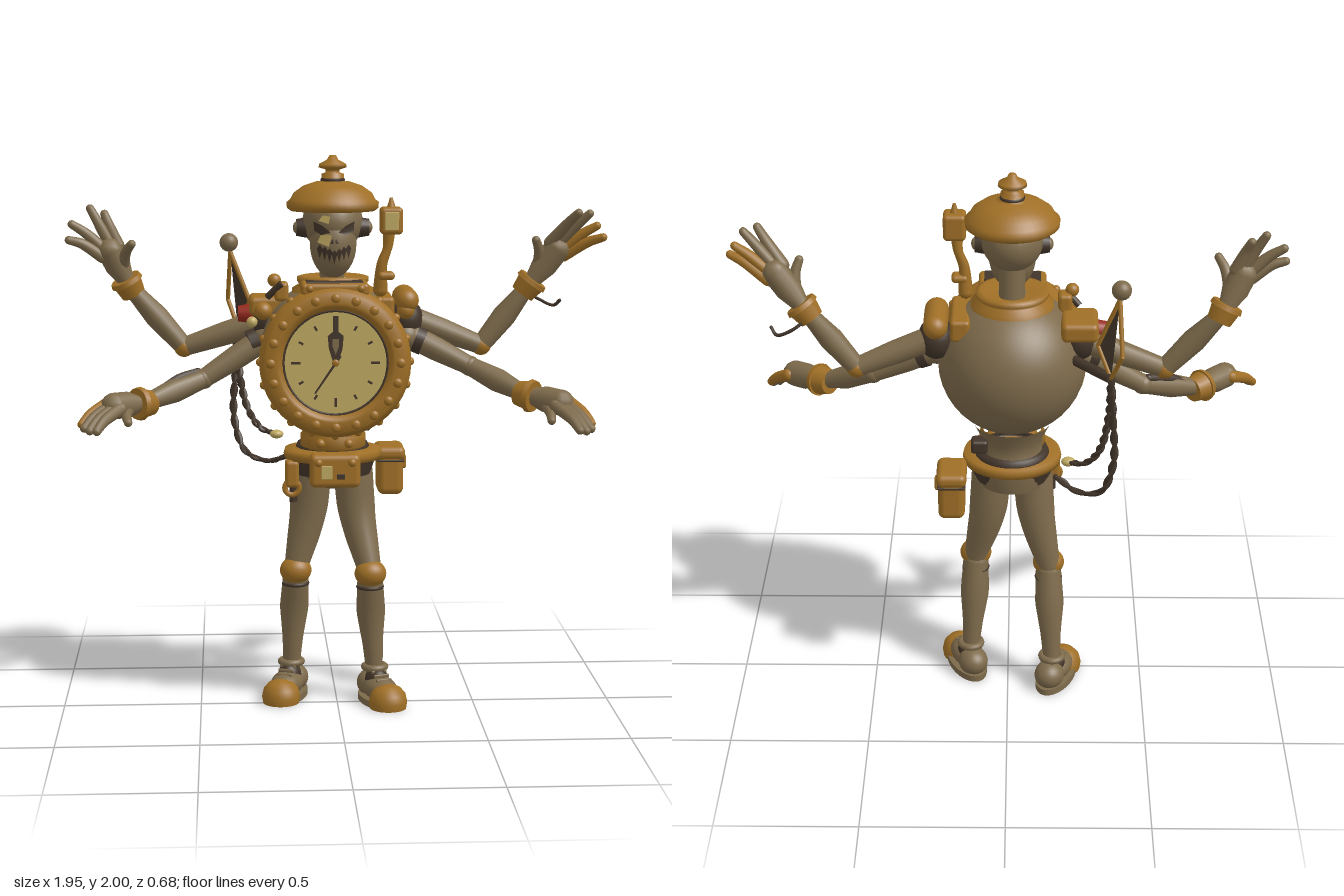
import * as THREE from 'three';
import { mergeGeometries } from 'three/addons/utils/BufferGeometryUtils.js';
import { RoundedBoxGeometry } from 'three/addons/geometries/RoundedBoxGeometry.js';

const paint = (name, color, side = THREE.FrontSide) => {
  const m = new THREE.MeshStandardMaterial({ color, side });
  m.name = name;
  return m;
};
const V = (p) => new THREE.Vector3(...p);
const CX = -0.015; // body centre line

export function createModel() {
  const root = new THREE.Group();
  root.name = 'clockworkFigure';
  const brown = paint('weathered grey brown', 0x7d6a4b);
  const gold = paint('aged brass', 0x9f6f26);
  const cream = paint('dial cream', 0xbfa862, THREE.DoubleSide);
  const dark = paint('dark iron', 0x42352a, THREE.DoubleSide);
  const red = paint('red enamel', 0x96291c);

  const add = (name, geo, mat, pos = [0, 0, 0], parent = root) => {
    const m = new THREE.Mesh(geo, mat);
    m.name = name;
    m.position.set(...pos);
    parent.add(m);
    return m;
  };
  const ball = (name, mat, pos, rx, ry = rx, rz = rx, parent = root) =>
    add(name, new THREE.SphereGeometry(1, 24, 16).scale(rx, ry, rz), mat, pos, parent);
  const box = (name, mat, pos, w, h, d, r = 0.015, parent = root) =>
    add(name, new RoundedBoxGeometry(w, h, d, 3, r), mat, pos, parent);
  const lathe = (name, mat, profile, pos, parent = root) =>
    add(name, new THREE.LatheGeometry(profile.map((p) => new THREE.Vector2(...p)), 40), mat, pos, parent);
  // straight round bar from a to b
  const rod = (name, mat, a, b, ra, rb = ra) => {
    const d = V(b).sub(V(a));
    const m = add(name, new THREE.CylinderGeometry(rb, ra, d.length(), 16), mat, V(a).addScaledVector(d, 0.5).toArray());
    m.quaternion.setFromUnitVectors(V([0, 1, 0]), d.normalize());
    return m;
  };
  // curved tube of changing radius with round ends
  const limb = (name, mat, pts, radii, sides = 14) => {
    const curve = new THREE.CatmullRomCurve3(pts.map(V), false, 'centripetal');
    const n = (pts.length - 1) * 8;
    const g = new THREE.TubeGeometry(curve, n, 1, sides);
    const p = g.attributes.position, v = new THREE.Vector3();
    for (let i = 0; i <= n; i++) {
      const c = curve.getPointAt(i / n);
      const t = (i / n) * (radii.length - 1), k = Math.min(Math.floor(t), radii.length - 2);
      const r = THREE.MathUtils.lerp(radii[k], radii[k + 1], t - k);
      for (let j = 0; j <= sides; j++) {
        const q = i * (sides + 1) + j;
        v.fromBufferAttribute(p, q).sub(c).multiplyScalar(r).add(c);
        p.setXYZ(q, v.x, v.y, v.z);
      }
    }
    const cap = (at, r) => new THREE.SphereGeometry(r, 12, 8).translate(...at);
    return add(name, mergeGeometries([g, cap(pts[0], radii[0]), cap(pts.at(-1), radii.at(-1))]), mat);
  };

  // Round torso, open at the front where the drum closes it
  const shell = new THREE.SphereGeometry(0.262, 40, 26, 0, Math.PI * 2, 0, Math.PI * 0.68).rotateX(-Math.PI / 2);
  add('torso', shell, brown, [CX, 1.3, -0.02]);
  const clock = new THREE.Group();
  clock.name = 'clock';
  clock.position.set(CX, 1.285, 0);
  root.add(clock);
  const drum = lathe('drum', gold, [[0.24, -0.03], [0.262, -0.02], [0.262, 0.13], [0.268, 0.135], [0.268, 0.17], [0.255, 0.19],
    [0.245, 0.205], [0.21, 0.209], [0.2, 0.203], [0.187, 0.195], [0.183, 0.175]], [0, 0, 0], clock);
  drum.rotation.x = Math.PI / 2;
  add('dial', new THREE.CircleGeometry(0.186, 48), cream, [0, 0, 0.186], clock);
  add('dialEdge', new THREE.TorusGeometry(0.184, 0.005, 8, 48), dark, [0, 0, 0.189], clock);
  for (let i = 0; i < 20; i++) {
    const a = (i / 20) * Math.PI * 2, c = Math.cos(a), s = Math.sin(a);
    ball('rimBolt', gold, [c * 0.228, s * 0.228, 0.205], 0.017, 0.017, 0.011, clock);
    ball('sideBolt', gold, [c * 0.264, s * 0.264, 0.155], 0.015, 0.015, 0.015, clock);
  }
  const plate = (name, mat, pts, pos, parent) =>
    add(name, new THREE.ShapeGeometry(new THREE.Shape(pts.map((p) => new THREE.Vector2(...p)))), mat, pos, parent);
  for (let i = 0; i < 12; i++) {
    const h = i % 3 ? 0.009 : 0.016;
    plate('hourMark', dark, [[-0.004, 0.14 - h], [0.004, 0.14 - h], [0.004, 0.14 + h], [-0.004, 0.14 + h]],
      [0, 0, 0.189], clock).rotation.z = (i * Math.PI) / 6;
  }
  plate('hourHand', dark, [[-0.008, 0], [0.008, 0], [0.024, 0.05], [0.028, 0.095], [0.01, 0.11], [0.01, 0.165],
    [-0.01, 0.165], [-0.01, 0.11], [-0.028, 0.095], [-0.024, 0.05]], [0, 0, 0.192], clock);
  plate('hourHandInlay', brown, [[0, 0.03], [0.012, 0.06], [0.012, 0.085], [-0.012, 0.085], [-0.012, 0.06]], [0, 0, 0.194], clock);
  plate('minuteHand', dark, [[-0.005, -0.03], [0.005, -0.03], [0.003, 0.13], [-0.003, 0.13]],
    [0, 0, 0.194], clock).rotation.z = Math.PI * 0.81;
  ball('handPivot', gold, [0, 0, 0.192], 0.013, 0.013, 0.007, clock);

  // Collar and neck
  lathe('collar', gold, [[0.15, 1.49], [0.145, 1.53], [0.12, 1.545], [0.128, 1.555], [0.128, 1.57], [0.11, 1.575], [0.05, 1.565]], [CX, 0, -0.02]);
  box('collarFront', gold, [CX, 1.54, 0.1], 0.24, 0.045, 0.16);
  box('collarSeam', dark, [CX, 1.562, 0.1], 0.2, 0.008, 0.13, 0.003);
  for (const s of [-1, 1]) ball('collarBolt', gold, [CX + s * 0.09, 1.545, 0.18], 0.014);
  rod('neck', brown, [CX, 1.54, -0.07], [CX, 1.7, -0.06], 0.045);

  // Skull: cranium and narrow tapering jaw
  const HY = 1.765;
  ball('cranium', brown, [CX, HY, -0.03], 0.108, 0.108, 0.128);
  ball('faceAndJaw', brown, [CX, 1.69, 0.015], 0.083, 0.122, 0.088);
  const faceZ = (x, y) => Math.max(
    -0.03 + 0.128 * Math.sqrt(Math.max(0, 1 - (x / 0.108) ** 2 - ((y - HY) / 0.108) ** 2)),
    0.015 + 0.088 * Math.sqrt(Math.max(0, 1 - (x / 0.083) ** 2 - ((y - 1.69) / 0.122) ** 2)));
  const facePatch = (name, mat, pts, lift = 0.006) => {
    const m = plate(name, mat, pts, [CX, 0, 0], root), p = m.geometry.attributes.position;
    for (let i = 0; i < p.count; i++) p.setZ(i, faceZ(p.getX(i), p.getY(i)) + lift);
    m.geometry.computeVertexNormals();
  };
  facePatch('browPatch', cream, [[-0.055, 1.775], [-0.02, 1.765], [-0.015, 1.79], [-0.04, 1.795]]);
  facePatch('cheekPatch', cream, [[-0.06, 1.7], [-0.02, 1.685], [-0.008, 1.725], [-0.045, 1.73]]);
  for (const s of [-1, 1]) {
    facePatch('eyeSocket', dark, [[s * 0.014, 1.735], [s * 0.045, 1.725], [s * 0.07, 1.74], [s * 0.072, 1.772], [s * 0.04, 1.757]], 0.008);
    facePatch('nostril', dark, [[s * 0.003, 1.695], [s * 0.016, 1.695], [s * 0.005, 1.715]]);
    const ear = rod('earBolt', dark, [CX + s * 0.09, 1.745, -0.02], [CX + s * 0.13, 1.745, -0.02], 0.037, 0.03);
    ball('earCap', brown, ear.position.toArray().map((v, i) => (i ? v : v + s * 0.018)), 0.014, 0.022, 0.022);
  }
  for (let i = -3; i <= 3; i++) { // jagged grin
    const x = i * 0.017, y = 1.65 + Math.abs(i) * 0.006;
    facePatch('mouthTooth', dark, [[x - 0.01, y + 0.01], [x, y - 0.026], [x + 0.01, y + 0.01], [x, y + 0.024]]);
  }

  // Domed hat with knob
  const hat = [CX, 0, -0.02];
  lathe('hat', gold, [[0.1, 1.805], [0.15, 1.805], [0.163, 1.815], [0.165, 1.835], [0.152, 1.845], [0.14, 1.868], [0.105, 1.893],
    [0.06, 1.908], [0.04, 1.91], [0.04, 1.935], [0.025, 1.94], [0.025, 1.95], [0.05, 1.958], [0.048, 1.97], [0.02, 1.985], [0.012, 2], [0, 2]], hat);
  add('hatKnobRing', new THREE.TorusGeometry(0.036, 0.008, 8, 24).rotateX(Math.PI / 2), dark, [CX, 1.914, -0.02]);

  // Lantern mast by the left shoulder
  limb('mast', gold, [[0.15, 1.53, 0.06], [0.155, 1.62, 0.07], [0.175, 1.68, 0.07], [0.18, 1.74, 0.075]], [0.026, 0.02, 0.016, 0.022]);
  box('mastBase', gold, [0.17, 1.58, 0.07], 0.06, 0.03, 0.06);
  box('lantern', gold, [0.187, 1.775, 0.075], 0.08, 0.095, 0.085);
  box('lanternWindow', cream, [0.187, 1.775, 0.116], 0.05, 0.065, 0.008, 0.003);
  rod('lanternSpike', gold, [0.187, 1.82, 0.075], [0.187, 1.855, 0.075], 0.016, 0.005);

  // Shoulder fittings
  add('leftShoulderRoll', new THREE.CapsuleGeometry(0.043, 0.15, 8, 16).rotateX(Math.PI / 2), gold, [0.25, 1.485, -0.07]);
  box('leftShoulderBox', gold, [0.165, 1.465, -0.03], 0.07, 0.08, 0.24);
  box('rightShoulderBox', gold, [-0.25, 1.465, -0.08], 0.13, 0.07, 0.17, 0.02);
  box('rightShoulderValve', gold, [-0.2, 1.52, 0.0], 0.05, 0.07, 0.07);
  ball('valveKnob', gold, [-0.225, 1.56, 0.01], 0.024);
  rod('valvePipe', dark, [-0.25, 1.5, 0.01], [-0.2, 1.55, 0.035], 0.012);
  rod('redCap', red, [-0.3, 1.435, -0.05], [-0.355, 1.435, -0.05], 0.038, 0.028);
  ball('creamGauge', cream, [-0.305, 1.41, 0.0], 0.02);
  for (const s of [-1, 1]) {
    ball('shoulderJoint', dark, [s * 0.25, 1.41, -0.07], 0.065, 0.075, 0.07);
    ball('lowerShoulderJoint', brown, [s * 0.25, 1.35, -0.04], 0.05);
    ball('shoulderBolt', gold, [s * 0.255 - 0.01, 1.45, 0.01], 0.032);
    rod('shoulderBand', dark, [s * 0.285, 1.34, -0.045], [s * 0.315, 1.328, -0.04], 0.048);
  }

  // Four arms: joints, then palm and finger tips; fingers from index goldFrom are brass
  const arm = (name, elbowMat, sh, el, wr, palm, tips, thumb, goldFrom = 4) => {
    const mid = V(sh).lerp(V(el), 0.5).toArray(), fore = V(el).lerp(V(wr), 0.35).toArray();
    limb(name + 'UpperArm', brown, [sh, mid, el], [0.045, 0.043, 0.034]);
    ball(name + 'Elbow', elbowMat, el, 0.037);
    limb(name + 'Forearm', brown, [el, fore, wr], [0.034, 0.043, 0.028]);
    const d = V(palm).sub(V(wr)).normalize(), at = (t) => V(wr).addScaledVector(d, t).toArray();
    rod(name + 'Cuff', gold, at(-0.035), at(0.015), 0.044, 0.053);
    rod(name + 'CuffRim', gold, at(0.015), at(0.032), 0.06, 0.056);
    limb(name + 'Palm', brown, [at(0.02), palm], [0.028, 0.047, 0.047]);
    const spread = V(tips.at(-1)).sub(V(tips[0])).normalize();
    tips.forEach((tip, i) => {
      const base = V(palm).addScaledVector(spread, (i - (tips.length - 1) / 2) * 0.024);
      const knuckle = base.clone().lerp(V(tip), 0.55).addScaledVector(d, 0.016);
      limb(name + 'Finger', i < goldFrom ? brown : gold, [base.toArray(), knuckle.toArray(), tip], [0.023, 0.02, 0.015], 10);
    });
    const base = at(0.06), bend = V(base).lerp(V(thumb), 0.6).addScaledVector(d, 0.012).toArray();
    limb(name + 'Thumb', brown, [base, bend, thumb], [0.026, 0.02, 0.015], 10);
  };
  arm('leftRaised', gold, [0.25, 1.42, -0.08], [0.53, 1.31, -0.1], [0.7, 1.525, -0.1], [0.8, 1.66, -0.08],
    [[0.865, 1.795, 0], [0.91, 1.79, -0.03], [0.94, 1.745, -0.05], [0.96, 1.705, -0.03]], [0.72, 1.695, -0.05], 2);
  arm('rightRaised', gold, [-0.25, 1.41, -0.07], [-0.55, 1.31, -0.1], [-0.745, 1.53, -0.11], [-0.81, 1.66, -0.08],
    [[-0.955, 1.7, -0.06], [-0.945, 1.755, -0.08], [-0.88, 1.81, -0.1], [-0.83, 1.79, -0.11]], [-0.73, 1.69, 0]);
  arm('leftLow', brown, [0.25, 1.36, -0.05], [0.48, 1.245, -0.01], [0.67, 1.155, 0.11], [0.78, 1.14, 0.2],
    [[0.83, 1.06, 0.325], [0.855, 1.055, 0.31], [0.875, 1.06, 0.29], [0.88, 1.075, 0.265]], [0.74, 1.085, 0.26], 3);
  arm('rightLow', brown, [-0.25, 1.35, -0.05], [-0.48, 1.205, -0.01], [-0.69, 1.135, 0.11], [-0.79, 1.14, 0.2],
    [[-0.845, 1.07, 0.325], [-0.87, 1.07, 0.31], [-0.89, 1.075, 0.285], [-0.9, 1.085, 0.26]], [-0.74, 1.09, 0.26], 3);
  limb('forearmStrip', dark, [[-0.5, 1.228, -0.012], [-0.56, 1.21, 0.026], [-0.64, 1.17, 0.07]], [0.016, 0.022, 0.016], 8);
  limb('wristWire', dark, [[0.7, 1.5, -0.13], [0.75, 1.47, -0.15], [0.8, 1.45, -0.14], [0.82, 1.47, -0.12]], [0.006, 0.006], 6);

  // Diamond aerial behind the right shoulder, with hanging cables
  const tip = [-0.38, 1.64, -0.26], out = [-0.39, 1.46, -0.33], inn = [-0.31, 1.46, -0.235], low = [-0.355, 1.36, -0.29];
  ball('aerialBall', brown, [-0.385, 1.675, -0.26], 0.034);
  for (const [a, b] of [[tip, out], [out, low], [low, inn], [inn, tip]]) rod('aerialFrame', gold, a, b, 0.008);
  add('aerialPanel', new THREE.BufferGeometry().setFromPoints([tip, low, inn].map(V)), dark).geometry.computeVertexNormals();
  rod('aerialBracket', dark, low, [-0.22, 1.36, -0.13], 0.018);
  const cable = (pts) => {
    const c = new THREE.CatmullRomCurve3(pts.map(V));
    for (const ph of [0, Math.PI]) { // two twisted strands
      const strand = c.getSpacedPoints(40).map((p, i) => [p.x + 0.007 * Math.cos(i * 0.9 + ph), p.y, p.z + 0.007 * Math.sin(i * 0.9 + ph)]);
      add('cableStrand', new THREE.TubeGeometry(new THREE.CatmullRomCurve3(strand.map(V)), 120, 0.008, 6), dark);
    }
  };
  cable([low, [-0.365, 1.2, -0.28], [-0.37, 1.02, -0.27], [-0.33, 0.9, -0.25], [-0.25, 0.87, -0.2], [-0.17, 0.9, -0.14]]);
  cable([low, [-0.35, 1.2, -0.27], [-0.32, 1.06, -0.25], [-0.27, 0.99, -0.21], [-0.21, 0.975, -0.17]]);
  ball('cablePlug', cream, [-0.215, 0.975, -0.17], 0.025, 0.016, 0.022);

  // Waist, belt and pouches
  lathe('waist', brown, [[0.12, 0.84], [0.135, 0.91], [0.13, 0.94], [0.108, 0.97], [0.11, 1.02], [0.14, 1.08]], [CX, 0, -0.05]);
  lathe('waistBand', dark, [[0.128, 0.945], [0.134, 0.95], [0.126, 0.968], [0.105, 0.972]], [CX, 0, -0.045]);
  lathe('waistCup', gold, [[0.1, 0.955], [0.118, 0.965], [0.118, 1.005], [0.105, 1.02], [0.12, 1.04]], [CX, 0, 0.005]);
  for (const s of [-1, 1]) ball('waistBolt', gold, [CX + s * 0.05, 0.985, 0.112], 0.017);
  box('waistRearBlock', dark, [0.1, 1.02, -0.13], 0.06, 0.05, 0.06, 0.012);
  const belt = lathe('belt', gold, [[0.13, 0.908], [0.173, 0.912], [0.178, 0.93], [0.173, 0.948], [0.13, 0.952]], [CX, 0, -0.03]);
  const skirt = lathe('underBelt', dark, [[0.137, 0.855], [0.155, 0.912]], [CX, 0, -0.035]);
  for (const part of [belt, skirt]) part.scale.z = 0.95;
  box('buckle', gold, [CX, 0.893, 0.125], 0.18, 0.12, 0.085, 0.02);
  box('buckleInset', cream, [CX - 0.03, 0.89, 0.167], 0.04, 0.05, 0.008, 0.003);
  box('buckleSlot', dark, [CX + 0.02, 0.875, 0.167], 0.03, 0.02, 0.008, 0.003);
  for (const s of [-1, 1]) ball('buckleBolt', gold, [CX + s * 0.06, 0.925, 0.165], 0.015);
  box('leftPouch', gold, [0.2, 0.84, -0.145], 0.095, 0.16, 0.15, 0.025);
  box('leftPouchFlap', gold, [0.2, 0.915, -0.145], 0.108, 0.05, 0.165, 0.022);
  box('leftPouchClasp', gold, [0.252, 0.875, -0.145], 0.018, 0.05, 0.03, 0.006);
  box('leftPouchStrap', dark, [0.2, 0.888, -0.145], 0.1, 0.008, 0.155, 0.003);
  box('rightTool', gold, [-0.165, 0.865, 0.03], 0.05, 0.1, 0.07);
  add('toolRing', new THREE.TorusGeometry(0.026, 0.01, 8, 20), gold, [-0.165, 0.815, 0.05]);
  rod('toolHandle', dark, [-0.16, 0.76, 0.03], [-0.16, 0.83, 0.03], 0.014);
  ball('pelvis', brown, [CX, 0.86, -0.045], 0.125, 0.065, 0.095);

  // Legs and shoes
  const leg = (s, kneeX, ankleX, kz, az) => {
    const n = s > 0 ? 'left' : 'right';
    limb(n + 'Thigh', brown, [[CX + s * 0.075, 0.86, -0.045], [CX + s * 0.09, 0.7, -0.04 + kz * 0.3], [kneeX, 0.49, kz]], [0.072, 0.07, 0.058, 0.042], 18);
    ball(n + 'Knee', gold, [kneeX, 0.49, kz + 0.015], 0.058, 0.05, 0.052);
    limb(n + 'Calf', brown, [[kneeX, 0.46, kz], [kneeX + s * 0.005, 0.33, kz * 0.6 + az * 0.4 - 0.008], [ankleX, 0.1, az]], [0.047, 0.053, 0.038, 0.03], 18);
    add(n + 'KneeSeam', new THREE.TorusGeometry(0.044, 0.007, 8, 24).rotateX(Math.PI / 2), dark, [kneeX, 0.437, kz - 0.002]);
    add(n + 'AnkleRing', new THREE.TorusGeometry(0.038, 0.013, 10, 24).rotateX(Math.PI / 2), brown, [ankleX, 0.125, az]);
    const shoe = new THREE.Group();
    shoe.name = n + 'Shoe';
    shoe.position.set(ankleX, 0, az);
    shoe.rotation.y = s * 0.35;
    root.add(shoe);
    add('sole', new THREE.CylinderGeometry(1, 1, 0.024, 32).scale(0.066, 1, 0.135), brown, [0, 0.012, 0.05], shoe);
    ball('heel', brown, [0, 0.058, -0.025], 0.055, 0.052, 0.06, shoe);
    ball('instep', brown, [0, 0.055, 0.05], 0.058, 0.045, 0.09, shoe);
    ball('tongue', dark, [0, 0.078, 0.02], 0.043, 0.05, 0.05, shoe);
    lathe('toeCap', gold, [[0.066, 0], [0.07, 0.025], [0.063, 0.055], [0.045, 0.075], [0.02, 0.085], [0, 0.087]], [0, 0, 0.122], shoe);
    for (let i = 0; i < 3; i++) box('lace', brown, [0, 0.115 - i * 0.011, 0.04 + i * 0.022], 0.06, 0.012, 0.01, 0.004, shoe);
  };
  leg(1, 0.12, 0.14, 0.01, -0.03);
  leg(-1, -0.15, -0.165, -0.06, -0.12);
  return root;
}
